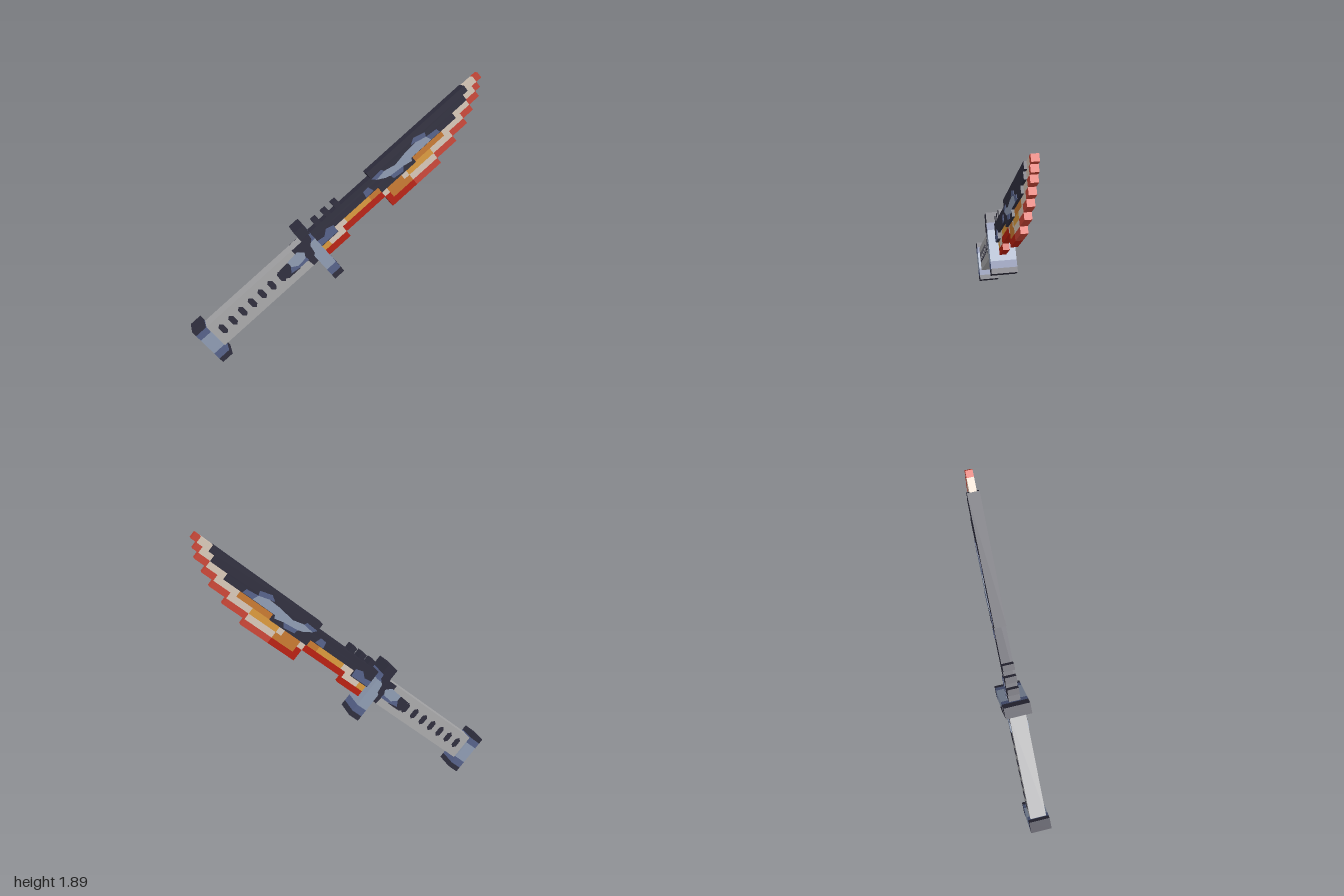
import * as THREE from 'three';

const mat = (name, color) => {
  const m = new THREE.MeshStandardMaterial({ color });
  m.name = name;
  return m;
};

export function createModel() {
  const M = {
    dark: mat('darkSteel', 0x2f2e3e),
    mid: mat('blueSteel', 0x56628a),
    light: mat('paleSteel', 0x8f9cb3),
    grip: mat('greyGrip', 0xa9a9ab),
    red: mat('red', 0xcc4636),
    deep: mat('deepRed', 0xba200f),
    bone: mat('bone', 0xd8c8b8),
    orange: mat('orange', 0xc97a30),
    amber: mat('amber', 0xdb9a3c),
  };

  const model = new THREE.Group();
  model.name = 'sword';
  // The sword is laid out along x, then tilted up by 40 degrees
  const sword = new THREE.Group();
  sword.name = 'tiltedSword';
  sword.rotation.z = THREE.MathUtils.degToRad(40);
  model.add(sword);

  const box = (name, m, u0, u1, v0, v1, half) => {
    const mesh = new THREE.Mesh(new THREE.BoxGeometry(u1 - u0, v1 - v0, half * 2), M[m]);
    mesh.position.set((u0 + u1) / 2, (v0 + v1) / 2, 0);
    mesh.name = name;
    sword.add(mesh);
  };

  // Thin painted plate on both the front and the back face
  const plate = (name, m, pts, half, lift = 0.003) => {
    const shape = new THREE.Shape(pts.map(p => new THREE.Vector2(p[0], p[1])));
    const geo = new THREE.ExtrudeGeometry(shape, { depth: lift + 0.001, bevelEnabled: false });
    for (const z of [half - 0.001, -half - lift]) {
      const mesh = new THREE.Mesh(geo, M[m]);
      mesh.position.z = z;
      mesh.name = name;
      sword.add(mesh);
    }
  };

  // Blade: rows of square cells from spine to edge; each run is [colour, first, last]
  const P = 0.044, U0 = 0.42, V0 = 0.826;
  const rows = [
    [['dark', 1, 2], ['dark', 3, 4], ['dark', 5, 6], ['dark', 12, 32], ['bone', 32, 34], ['red', 34, 35]],
    [['dark', -1, 31], ['bone', 31, 33], ['red', 33, 34]],
    [['dark', -1, 28], ['bone', 28, 31], ['red', 31, 33]],
    [['dark', -1, 3], ['bone', 3, 5], ['amber', 5, 10], ['orange', 10, 12], ['dark', 12, 19],
      ['orange', 19, 25], ['bone', 25, 29], ['red', 29, 31]],
    [['amber', -1, 1], ['bone', 1, 4], ['deep', 4, 12], ['bone', 12, 13], ['orange', 13, 16],
      ['bone', 16, 17], ['amber', 17, 22], ['bone', 22, 26], ['red', 26, 29]],
    [['deep', -1, 4], ['deep', 12, 13], ['orange', 13, 17], ['bone', 17, 22], ['red', 22, 26]],
    [['deep', 12, 17], ['red', 17, 22]],
  ];
  rows.forEach((row, r) => row.forEach(([m, a, b]) => {
    const isDark = m === 'dark';
    box(isDark ? 'bladeCore' : 'bladeEdge', m, U0 + a * P, U0 + b * P,
      V0 - (r + 1) * P, V0 - r * P, isDark ? 0.04 : 0.023);
  }));

  // Steel patches on the blade
  plate('bladePatch', 'light', [[0.973, 0.744], [1.029, 0.711], [1.063, 0.7], [1.173, 0.69],
    [1.237, 0.676], [1.25, 0.696], [1.432, 0.697], [1.414, 0.737], [1.341, 0.757],
    [1.242, 0.752], [1.133, 0.735], [1.05, 0.755]], 0.04);
  plate('bladePatchShade', 'mid', [[0.95, 0.77], [1.04, 0.775], [1.05, 0.755], [0.973, 0.744]], 0.04);
  plate('bladePatchShade', 'mid', [[1.3, 0.765], [1.341, 0.791], [1.426, 0.768], [1.414, 0.737],
    [1.341, 0.757]], 0.04);
  plate('bladePatchShade', 'mid', [[1.414, 0.737], [1.5, 0.728], [1.51, 0.697], [1.432, 0.697]], 0.04);
  plate('bladePatchShade', 'mid', [[1.063, 0.7], [1.07, 0.67], [1.15, 0.66], [1.173, 0.69]], 0.04);
  plate('bladePatchShade', 'mid', [[0.85, 0.741], [0.897, 0.745], [0.912, 0.7], [0.842, 0.696]], 0.04);
  plate('bladePatchShade', 'mid', [[0.404, 0.655], [0.404, 0.7], [0.46, 0.692], [0.5, 0.725],
    [0.555, 0.71], [0.55, 0.655]], 0.04);

  // Guard and pommel: banded blocks
  const banded = (name, u0, u1, half, v) => ['dark', 'mid', 'light', 'mid', 'dark'].forEach(
    (m, i) => box(name, m, u0, u1, v[i], v[i + 1], half));
  banded('guard', 0.324, 0.404, 0.092, [0.432, 0.47, 0.522, 0.744, 0.796, 0.869]);
  banded('pommel', -0.61, -0.523, 0.075, [0.52, 0.556, 0.608, 0.739, 0.785, 0.823]);
  plate('guardShade', 'dark', [[0.324, 0.66], [0.34, 0.67], [0.35, 0.73], [0.385, 0.76],
    [0.39, 0.8], [0.324, 0.8]], 0.092);

  // Handle
  box('handle', 'grip', -0.523, 0.324, 0.595, 0.778, 0.058);

  // Row of grip slots
  for (let i = 0; i < 7; i++) {
    const u = -0.453 + 0.087 * i, v = 0.69;
    plate('gripSlot', 'dark', [[-0.02, -0.022], [0, -0.042], [0.02, -0.026], [0.02, 0.022],
      [0, 0.042], [-0.02, 0.026]].map(([a, b]) => [u + a, v + b]), 0.058);
  }

  // Painted collar next to the guard
  plate('collarShade', 'dark', [[0.08, 0.66], [0.1, 0.645], [0.2, 0.645], [0.2, 0.69], [0.15, 0.735],
    [0.08, 0.73]], 0.058);
  plate('collarShade', 'dark', [[0.235, 0.72], [0.27, 0.66], [0.28, 0.597], [0.324, 0.597],
    [0.324, 0.778], [0.235, 0.778]], 0.058);
  plate('collarPatchShade', 'mid', [[0.13, 0.66], [0.2, 0.65], [0.28, 0.65], [0.27, 0.7],
    [0.16, 0.7]], 0.058, 0.005);
  plate('collarPatch', 'light', [[0.16, 0.695], [0.2, 0.668], [0.27, 0.675], [0.29, 0.71],
    [0.25, 0.745], [0.16, 0.735]], 0.058, 0.007);

  return model;
}
